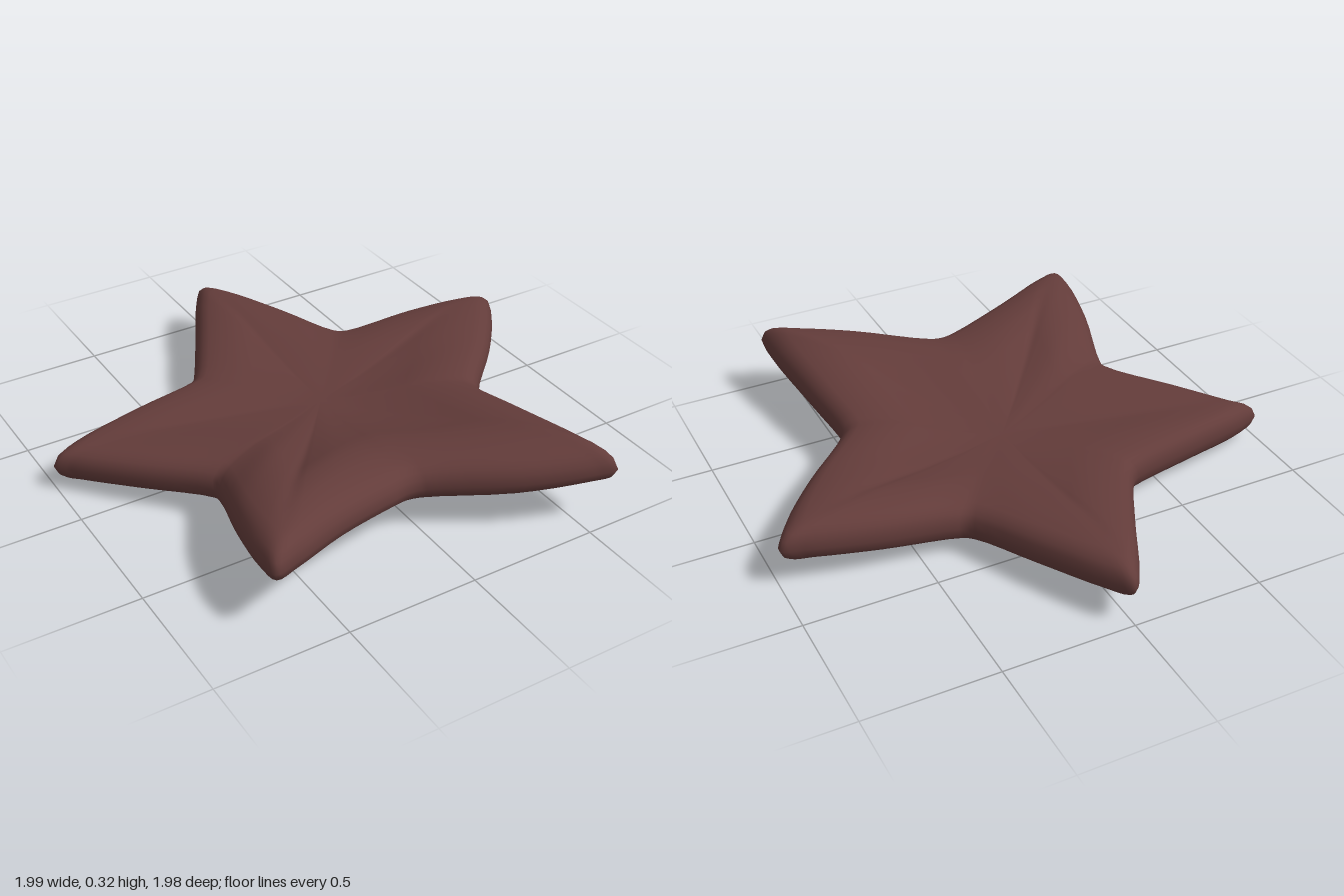
import * as THREE from 'three';

// Rim of the star, clockwise from the back tip: x, middle height, z
const RIM = [
  [0, .155, -.99], [.06, .155, -.92], [.2, .14, -.67], [.325, .12, -.43], [.37, .12, -.398],
  [.67, .145, -.36], [.91, .16, -.31], [.99, .16, -.28], [.94, .16, -.18], [.78, .155, .02],
  [.565, .155, .24], [.545, .155, .29], [.57, .18, .53], [.612, .22, .9], [.607, .232, .99],
  [.53, .225, .97], [.3, .205, .87], [.01, .185, .69], [-.05, .185, .676], [-.11, .188, .685],
  [-.38, .22, .765], [-.61, .24, .855], [-.7, .24, .875], [-.71, .235, .79], [-.67, .2, .55],
  [-.597, .14, .29], [-.6, .135, .24], [-.8, .115, .01], [-.955, .1, -.17], [-1, .098, -.227],
  [-.92, .102, -.27], [-.67, .11, -.33], [-.37, .11, -.395], [-.335, .112, -.42],
  [-.2, .135, -.65], [-.055, .155, -.92],
];
const CENTRE_Y = .09, HALF = .085;

// Rings from the middle outward: radial scale, rise towards the rim height, half thickness
const RINGS = [
  [.2, .1, .085], [.4, .4, .085], [.53, .68, .085], [.65, .93, .085], [.78, 1.03, .082],
  [.88, 1.04, .076], [.925, 1.03, .067], [.96, 1.02, .053], [.985, 1, .034],
];

function starGeometry() {
  const curve = new THREE.CatmullRomCurve3(RIM.map(p => new THREE.Vector3(...p)), true, 'centripetal');
  const rim = curve.getPoints(RIM.length * 4).slice(0, -1);
  const n = rim.length;

  // Top surface, rim, then the mirrored underside
  const rings = [
    ...RINGS,
    [1, 1, 0],
    ...[...RINGS].reverse().map(([t, s, h]) => [t, s, -h]),
  ];
  const positions = [0, CENTRE_Y + HALF, 0];
  for (const [t, s, h] of rings) {
    for (const p of rim) positions.push(p.x * t, CENTRE_Y + (p.y - CENTRE_Y) * s + h, p.z * t);
  }
  positions.push(0, CENTRE_Y - HALF, 0);

  const id = (k, i) => 1 + k * n + (i % n);
  const last = rings.length - 1, bottom = 1 + rings.length * n;
  const index = [];
  for (let i = 0; i < n; i++) {
    index.push(0, id(0, i + 1), id(0, i));
    for (let k = 0; k < last; k++) {
      const a = id(k, i), b = id(k, i + 1), c = id(k + 1, i), d = id(k + 1, i + 1);
      index.push(a, b, c, b, d, c);
    }
    index.push(id(last, i), id(last, i + 1), bottom);
  }

  const geometry = new THREE.BufferGeometry();
  geometry.setAttribute('position', new THREE.Float32BufferAttribute(positions, 3));
  geometry.setIndex(index);
  geometry.computeVertexNormals();
  // Rest on the ground
  geometry.computeBoundingBox();
  geometry.translate(0, -geometry.boundingBox.min.y, 0);
  return geometry;
}

export function createModel() {
  const group = new THREE.Group();
  group.name = 'starfish';
  const brown = new THREE.MeshStandardMaterial({ color: 0x633c3a });
  brown.name = 'reddish brown';
  const body = new THREE.Mesh(starGeometry(), brown);
  body.name = 'starBody';
  group.add(body);
  return group;
}
